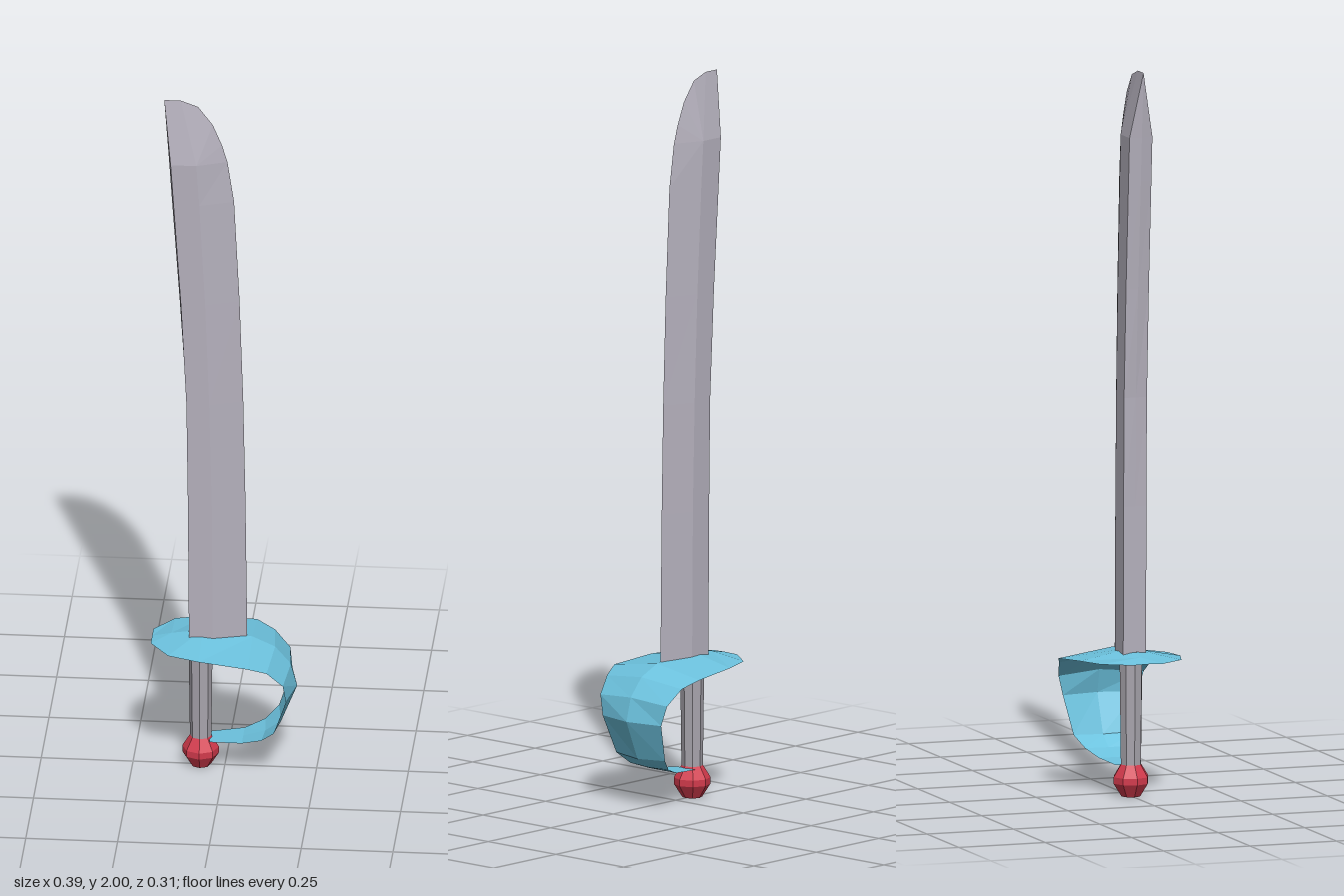
import * as THREE from 'three';

const paint = (color, side = THREE.FrontSide) =>
  new THREE.MeshStandardMaterial({ color, side, flatShading: true });

// Joins rings of points into a faceted surface, optionally closed round and capped.
function loft(rings, closed) {
  const pos = [];
  const tri = (a, b, c) => {
    const n = new THREE.Vector3().subVectors(b, a).cross(new THREE.Vector3().subVectors(c, a));
    if (n.length() > 1e-8) for (const p of [a, b, c]) pos.push(p.x, p.y, p.z);
  };
  const n = rings[0].length;
  for (let i = 0; i + 1 < rings.length; i++) {
    const lo = rings[i], hi = rings[i + 1];
    for (let j = 0; j < (closed ? n : n - 1); j++) {
      const k = (j + 1) % n;
      tri(lo[j], lo[k], hi[k]);
      tri(lo[j], hi[k], hi[j]);
    }
  }
  if (closed) {
    const lo = rings[0], hi = rings[rings.length - 1];
    for (let j = 1; j + 1 < n; j++) {
      tri(lo[0], lo[j + 1], lo[j]);
      tri(hi[0], hi[j], hi[j + 1]);
    }
  }
  const g = new THREE.BufferGeometry();
  g.setAttribute('position', new THREE.Float32BufferAttribute(pos, 3));
  g.computeVertexNormals();
  return g;
}

const V = (x, y, z) => new THREE.Vector3(x, y, z);

// Blade section: spine centre, back corners, ridges and cutting edge, each as [x, y].
function bladeRing(spine, back, ridge, edge, t = 0.033) {
  return [V(...spine, 0), V(...back, t), V(...ridge, t), V(...edge, 0), V(...ridge, -t), V(...back, -t)];
}

function bladeGeometry() {
  // y, spine centre x, back corner x, ridge x, edge x
  const rings = [
    [0.385, -0.095, -0.095, -0.03, 0.061],
    [0.8, -0.098, -0.098, -0.033, 0.056],
    [1.1, -0.104, -0.102, -0.04, 0.05],
    [1.4, -0.123, -0.117, -0.051, 0.04],
    [1.7, -0.144, -0.137, -0.067, 0.025],
    [1.82, -0.152, -0.145, -0.075, 0.007],
  ].map(([y, s, b, r, e]) => bladeRing([s, y], [b, y], [r, y], [e, y]));
  // the tip: the edge sweeps round to the spine while the ridges stay put
  const tip = [-0.165, 2];
  for (const edge of [[-0.008, 1.87], [-0.033, 1.93], [-0.073, 1.983], [-0.12, 2], tip])
    rings.push(bladeRing(tip, [-0.145, 1.82], [-0.075, 1.82], edge));
  return loft(rings, true);
}

function guardGeometry() {
  // centre x, centre y, side x, side y, half width
  const rows = [
    [-0.198, 0.381, -0.198, 0.38, 0.045],
    [-0.145, 0.392, -0.145, 0.379, 0.117],
    [-0.06, 0.405, -0.06, 0.377, 0.145],
    [0.075, 0.39, 0.075, 0.366, 0.157],
    [0.137, 0.362, 0.125, 0.346, 0.138],
    [0.18, 0.312, 0.168, 0.302, 0.123],
    [0.197, 0.247, 0.175, 0.247, 0.108],
    [0.153, 0.138, 0.14, 0.142, 0.09],
    [0.11, 0.108, 0.105, 0.11, 0.07],
    [0.05, 0.09, 0.05, 0.09, 0.05],
    [-0.04, 0.083, -0.04, 0.083, 0.035],
  ];
  return loft(rows.map(([cx, cy, sx, sy, w]) => [V(sx, sy, w), V(cx, cy, 0), V(sx, sy, -w)]), false);
}

export function createModel() {
  const model = new THREE.Group();
  const add = (name, geometry, material, x = 0, y = 0) => {
    const mesh = new THREE.Mesh(geometry, material);
    mesh.name = name;
    mesh.position.set(x, y, 0);
    model.add(mesh);
  };
  const gripX = -0.066;

  add('blade', bladeGeometry(), paint(0xb4b0bc));

  // Hand guard: a thin sheet that curls from the blade down to the pommel
  add('handGuard', guardGeometry(), paint(0x6cc2de, THREE.DoubleSide));

  add('grip', new THREE.CylinderGeometry(0.033, 0.029, 0.33, 8), paint(0xa8a5ad), gripX, 0.235);

  // Faceted pommel
  const profile = [[0, 0], [0.027, 0], [0.05, 0.036], [0.05, 0.054], [0.029, 0.088], [0, 0.09]]
    .map(([r, y]) => new THREE.Vector2(r, y));
  add('pommel', new THREE.LatheGeometry(profile, 8), paint(0xd23a4c), gripX);

  return model;
}
